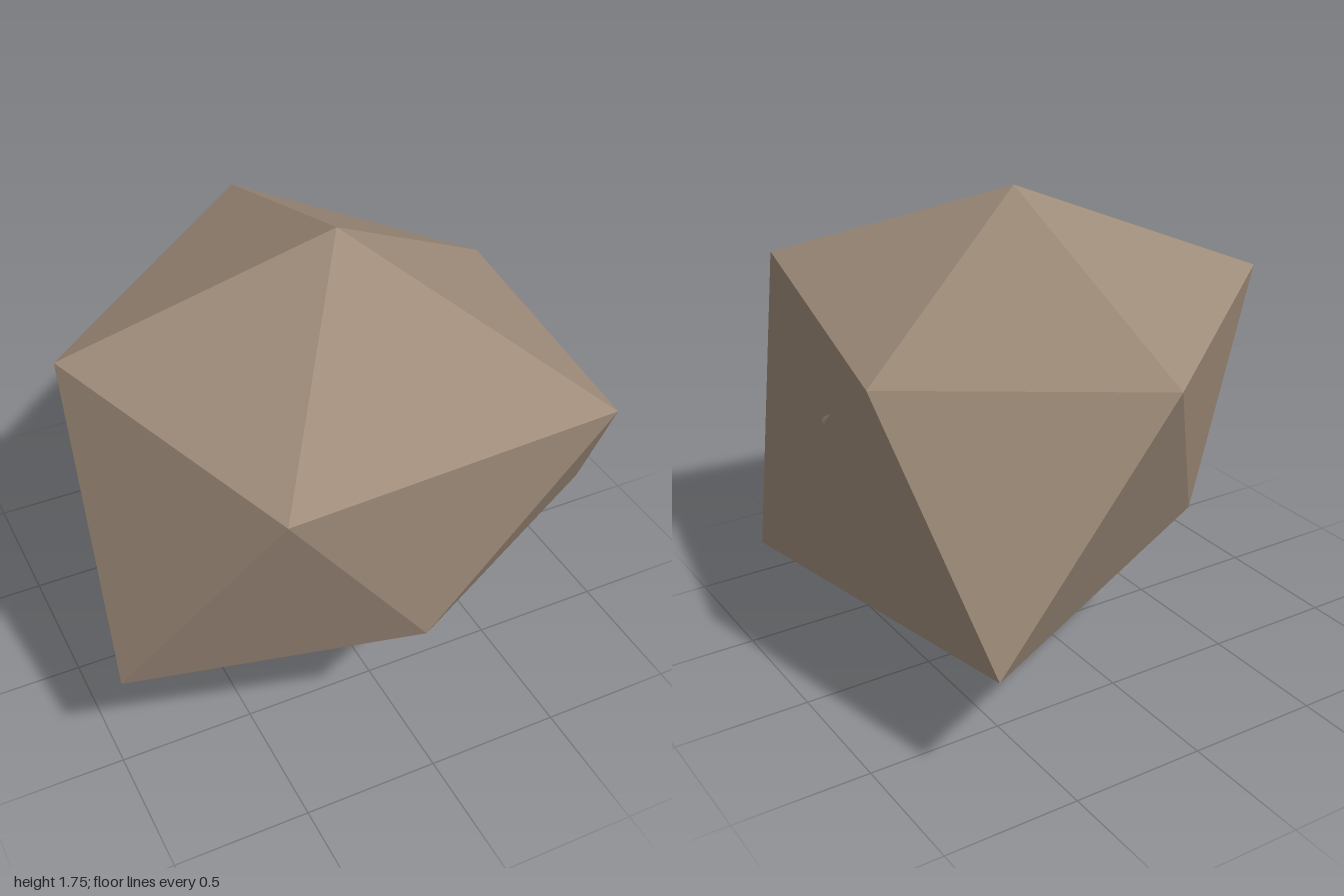
import * as THREE from 'three';

const stone = new THREE.MeshStandardMaterial({ color: 0xa08d7b });
stone.name = 'warm grey stone';

// Flat-faced mesh from a list of triangles, each with three corner points.
function facetMesh(name, triangles) {
  const geometry = new THREE.BufferGeometry();
  geometry.setAttribute('position', new THREE.Float32BufferAttribute(triangles.flat(2), 3));
  geometry.computeVertexNormals();
  const mesh = new THREE.Mesh(geometry, stone);
  mesh.name = name;
  return mesh;
}

export function createModel() {
  const group = new THREE.Group();
  group.name = 'rock';

  // Boulder: an uneven twenty-sided block with two poles and two staggered rings of five.
  const top = [0.03, 1.75, 0.12];
  const bottom = [0.03, 0, 0.12];
  const upper = [
    [0.11, 1.35, -0.98],
    [0.82, 1.26, -0.24],
    [0.61, 1.38, 0.98],
    [-0.53, 1.28, 0.93],
    [-0.92, 1.35, -0.1],
  ];
  const lower = [
    [0.73, 0.48, -0.9],
    [0.99, 0.5, 0.34],
    [-0.02, 0.61, 0.93],
    [-1, 0.49, 0.59],
    [-0.36, 0.61, -0.455],
  ];
  const triangles = [];
  for (let i = 0; i < 5; i++) {
    const j = (i + 1) % 5;
    triangles.push(
      [top, upper[j], upper[i]],
      [upper[i], upper[j], lower[i]],
      [lower[i], upper[j], lower[j]],
      [lower[i], lower[j], bottom],
    );
  }
  group.add(facetMesh('boulder', triangles));

  // Tiny chip standing slightly proud of the right-hand face.
  const front = [0.842, 1.065, 0.06];
  const back = [0.839, 1.1, 0];
  const base = [0.851, 1.05, 0.03];
  const tip = [0.862, 1.06, 0.032];
  group.add(facetMesh('chip', [
    [tip, back, front],
    [tip, front, base],
    [tip, base, back],
  ]));

  return group;
}
